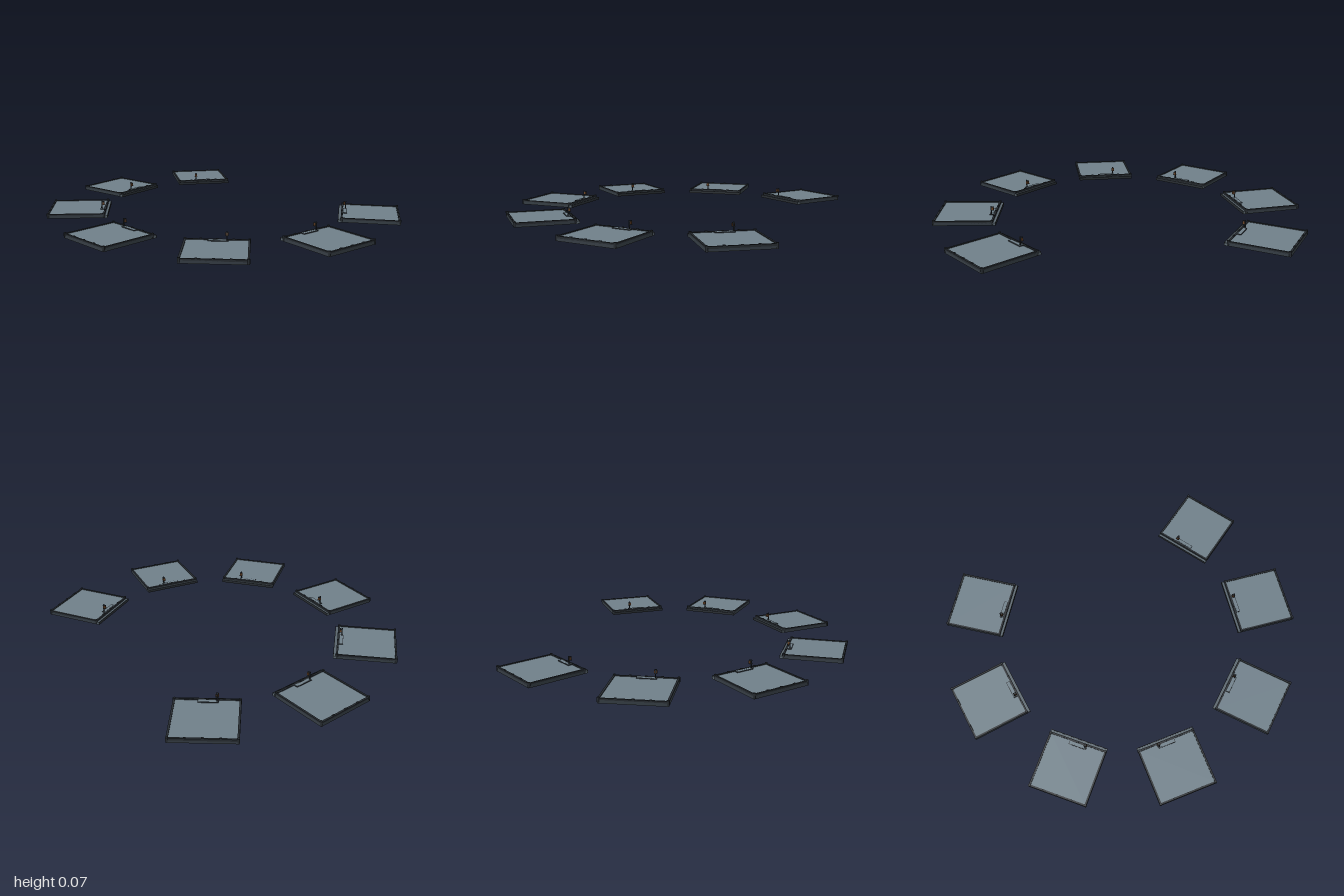
import * as THREE from 'three';

const mat = (color) => new THREE.MeshStandardMaterial({ color });
const slabMat = mat(0x343c43);
const floorMat = mat(0x6f7f89);
const trimMat = mat(0x262b30);
const stepMat = mat(0x59656d);
const lampMat = mat(0x6b4426);

function add(parent, name, geometry, material, x, y, z) {
  const mesh = new THREE.Mesh(geometry, material);
  mesh.name = name;
  mesh.position.set(x, y, z);
  parent.add(mesh);
  return mesh;
}
const box = (w, h, d) => new THREE.BoxGeometry(w, h, d);

// Local frame: +x points to the middle of the ring, z runs along the inner edge.
// side chooses the end of the threshold that carries the marker post.
function createPlatform(side) {
  const g = new THREE.Group();
  g.name = 'platform';
  const x0 = -0.16, x1 = 0.145, half = 0.158, mid = (x0 + x1) / 2;

  add(g, 'slab', box(0.315, 0.016, 0.326), slabMat, mid, 0.008, 0);
  add(g, 'floor', box(0.305, 0.005, 0.316), floorMat, mid, 0.0175, 0);

  // Raised rim with corner posts
  for (const z of [-half, half])
    add(g, 'sideRim', box(0.305, 0.011, 0.01), trimMat, mid, 0.0185, z);
  for (const x of [x0, x1]) {
    add(g, 'endRim', box(0.01, 0.011, 0.316), trimMat, x, 0.0185, 0);
    for (const z of [-half, half])
      add(g, 'cornerPost', new THREE.CylinderGeometry(0.007, 0.007, 0.024, 8), trimMat, x, 0.016, z);
  }

  // Small studs along the inner and outer rims
  for (const x of [x0, x1])
    for (const z of [-0.08, 0, 0.08])
      add(g, 'rimStud', box(0.008, 0.004, 0.012), trimMat, x, 0.0255, z);

  // Lower step outside the inner rim
  add(g, 'step', box(0.016, 0.014, 0.326), stepMat, 0.156, 0.007, 0);
  add(g, 'stepEdge', box(0.003, 0.016, 0.326), trimMat, 0.1635, 0.008, 0);

  // Flat threshold plate with a dark border
  add(g, 'thresholdBorder', box(0.022, 0.004, 0.1), trimMat, 0.129, 0.0215, side * 0.005);
  add(g, 'threshold', box(0.016, 0.002, 0.094), floorMat, 0.129, 0.0235, side * 0.005);

  // Marker post with a small lamp head
  const post = new THREE.Group();
  post.name = 'markerPost';
  post.position.set(0.127, 0, side * 0.048);
  add(post, 'pole', box(0.005, 0.048, 0.005), trimMat, 0, 0.044, 0);
  add(post, 'bracket', box(0.016, 0.004, 0.01), trimMat, 0.006, 0.063, 0);
  add(post, 'lampHead', box(0.01, 0.014, 0.014), lampMat, 0.008, 0.054, 0);
  add(post, 'lampBase', box(0.012, 0.003, 0.016), trimMat, 0.008, 0.0465, 0);
  g.add(post);
  return g;
}

export function createModel() {
  const root = new THREE.Group();
  root.name = 'platformRing';
  const radius = 0.816, centreX = 0.142, stepAngle = THREE.MathUtils.degToRad(41.5);

  // Seven platforms on an arc, open towards +x
  for (let i = -3; i <= 3; i++) {
    const a = i * stepAngle;
    const platform = createPlatform(i === 0 ? -1 : 1);
    platform.position.set(centreX - radius * Math.cos(a), 0, radius * Math.sin(a));
    platform.rotation.y = a;
    root.add(platform);
  }
  return root;
}
